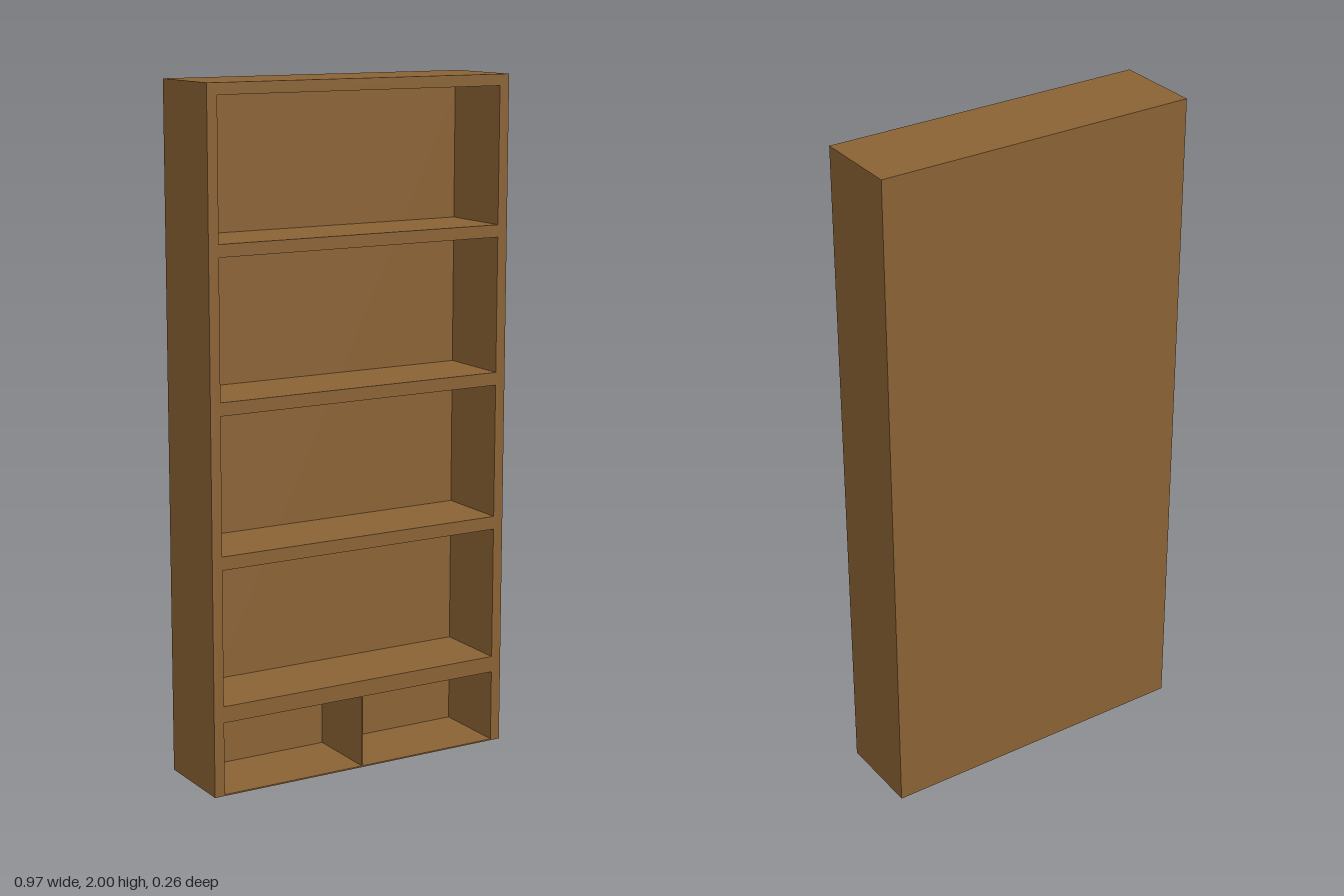
import * as THREE from 'three';

const W = 0.97, H = 2, D = 0.262, BACK = 0.03;
const INNER = 0.454; // half width of the openings
const FLOOR = 0.004;

// bottom and top of each opening
const OPENINGS = [[FLOOR, 0.217], [0.265, 0.661], [0.7, 1.097], [1.135, 1.533], [1.569, 1.967]];

function rectangle(path, x0, y0, x1, y1) {
  path.moveTo(x0, y0);
  path.lineTo(x1, y0);
  path.lineTo(x1, y1);
  path.lineTo(x0, y1);
  path.closePath();
  return path;
}

export function createModel() {
  const group = new THREE.Group();
  group.name = 'bookcase';
  const wood = new THREE.MeshStandardMaterial({ color: 0x8b6335 });
  wood.name = 'brown wood';

  const add = (name, geometry, x, y, z) => {
    const mesh = new THREE.Mesh(geometry, wood);
    mesh.name = name;
    mesh.position.set(x, y, z);
    group.add(mesh);
  };

  // sides, top, floor and shelves as one carcass with flush front edges
  const outline = rectangle(new THREE.Shape(), -W / 2, 0, W / 2, H);
  for (const [y0, y1] of OPENINGS) {
    outline.holes.push(rectangle(new THREE.Path(), -INNER, y0, INNER, y1));
  }
  const depth = D - BACK;
  const carcass = new THREE.ExtrudeGeometry(outline, { depth, bevelEnabled: false });
  add('carcassWithShelves', carcass, 0, 0, -D / 2 + BACK);

  // back panel closing all compartments
  add('backPanel', new THREE.BoxGeometry(W, H, BACK), 0, H / 2, -D / 2 + BACK / 2);

  // thin upright splitting the lowest compartment
  const [low, high] = OPENINGS[0];
  add('bottomDivider', new THREE.BoxGeometry(0.004, high - low, depth), 0, (low + high) / 2, BACK / 2);

  return group;
}
